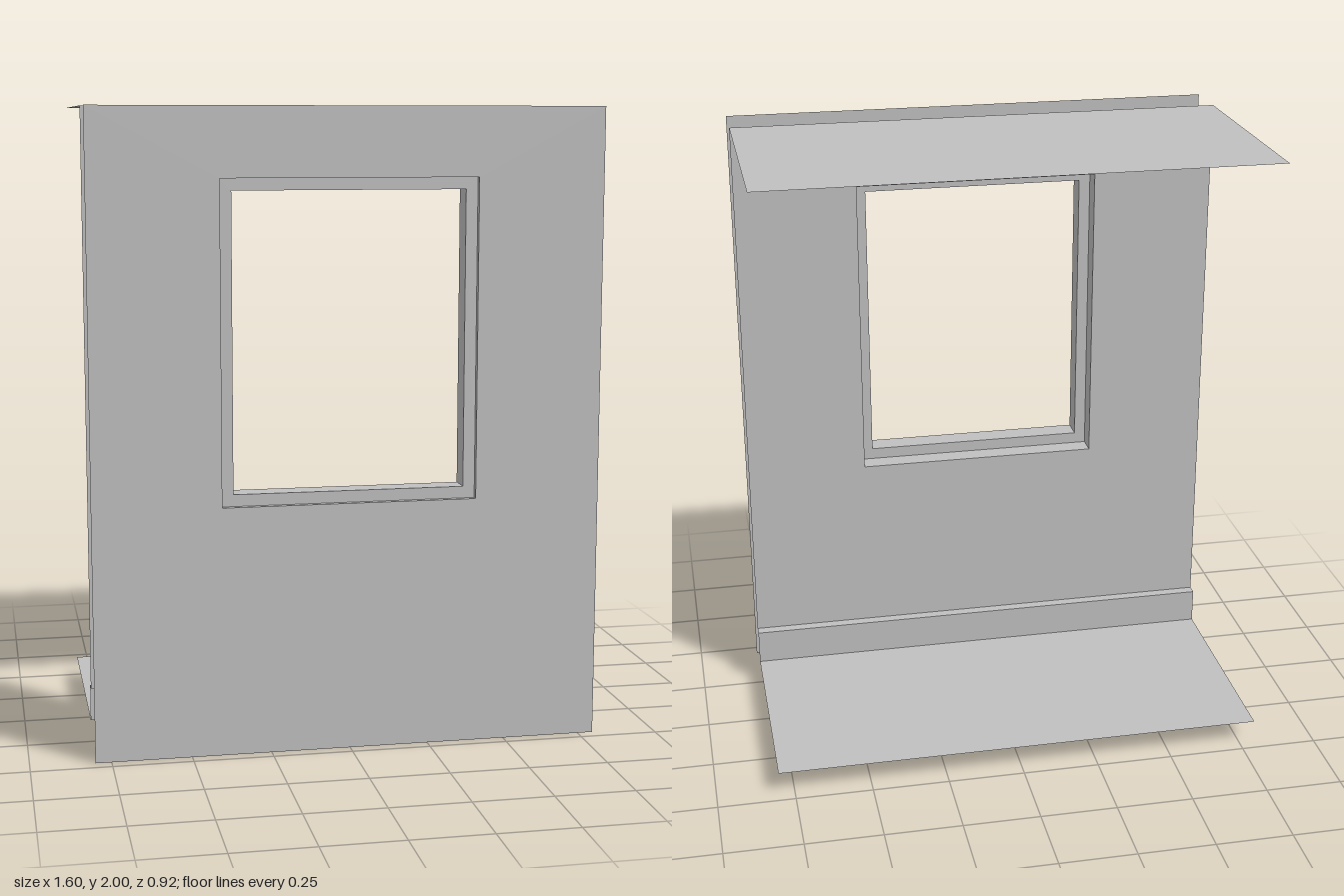
import * as THREE from 'three';

const OPENING = { x: 0.4, y0: 0.785, y1: 1.785 };
const FRONT = 0.46, INNER = 0.3, BACK = -0.46;
const FLOOR = 0.075, SKIRT_TOP = 0.19, SKIRT_Z = 0.265;

export function createModel() {
  const model = new THREE.Group();
  model.name = 'windowWallSection';
  const grey = new THREE.MeshStandardMaterial({ color: 0xc0c0c0, side: THREE.DoubleSide });
  grey.name = 'plain grey';

  const add = (name, geometry, x = 0, y = 0, z = 0) => {
    const mesh = new THREE.Mesh(geometry, grey);
    mesh.name = name;
    mesh.position.set(x, y, z);
    model.add(mesh);
    return mesh;
  };

  const rect = (Type, x, y0, y1) => new Type([
    new THREE.Vector2(-x, y0), new THREE.Vector2(x, y0),
    new THREE.Vector2(x, y1), new THREE.Vector2(-x, y1),
  ]);

  // Rectangle with a rectangular opening
  const pierced = (x, y0, y1, hole) => {
    const shape = rect(THREE.Shape, x, y0, y1);
    shape.holes.push(rect(THREE.Path, hole.x, hole.y0, hole.y1));
    return shape;
  };

  // Horizontal sheet between two depths
  const sheet = (name, width, y, z0, z1, up = true) => {
    const geometry = new THREE.PlaneGeometry(width, z1 - z0).rotateX(up ? -Math.PI / 2 : Math.PI / 2);
    return add(name, geometry, 0, y, (z0 + z1) / 2);
  };

  // Outer and inner wall skins
  add('outerWall', new THREE.ShapeGeometry(pierced(0.8, 0, 2, OPENING)), 0, 0, FRONT);
  add('innerWall', new THREE.ShapeGeometry(pierced(0.8, SKIRT_TOP, 2, OPENING)).rotateY(Math.PI)
    , 0, 0, INNER);

  // Lining of the window opening
  sheet('sillLining', OPENING.x * 2, OPENING.y0, INNER, FRONT);
  sheet('headLining', OPENING.x * 2, OPENING.y1, INNER, FRONT, false);
  for (const side of [-1, 1]) {
    const geometry = new THREE.PlaneGeometry(FRONT - INNER, OPENING.y1 - OPENING.y0)
      .rotateY(-side * Math.PI / 2);
    add(side > 0 ? 'leftJambLining' : 'rightJambLining', geometry,
      side * OPENING.x, (OPENING.y0 + OPENING.y1) / 2, (FRONT + INNER) / 2);
  }

  // Window frame set inside the opening
  const frame = pierced(OPENING.x, OPENING.y0, OPENING.y1, { x: 0.363, y0: 0.822, y1: 1.748 });
  add('windowFrame', new THREE.ExtrudeGeometry(frame, { depth: 0.075, bevelEnabled: false }), 0, 0, 0.367);

  // Ceiling, skirting board and floor
  sheet('ceiling', 1.6, 2, BACK, INNER, false);
  sheet('skirtingTop', 1.6, SKIRT_TOP, SKIRT_Z, INNER);
  add('skirtingFace', new THREE.PlaneGeometry(1.6, SKIRT_TOP - FLOOR).rotateY(Math.PI),
    0, (SKIRT_TOP + FLOOR) / 2, SKIRT_Z);
  sheet('floor', 1.6, FLOOR, BACK, SKIRT_Z);

  return model;
}
